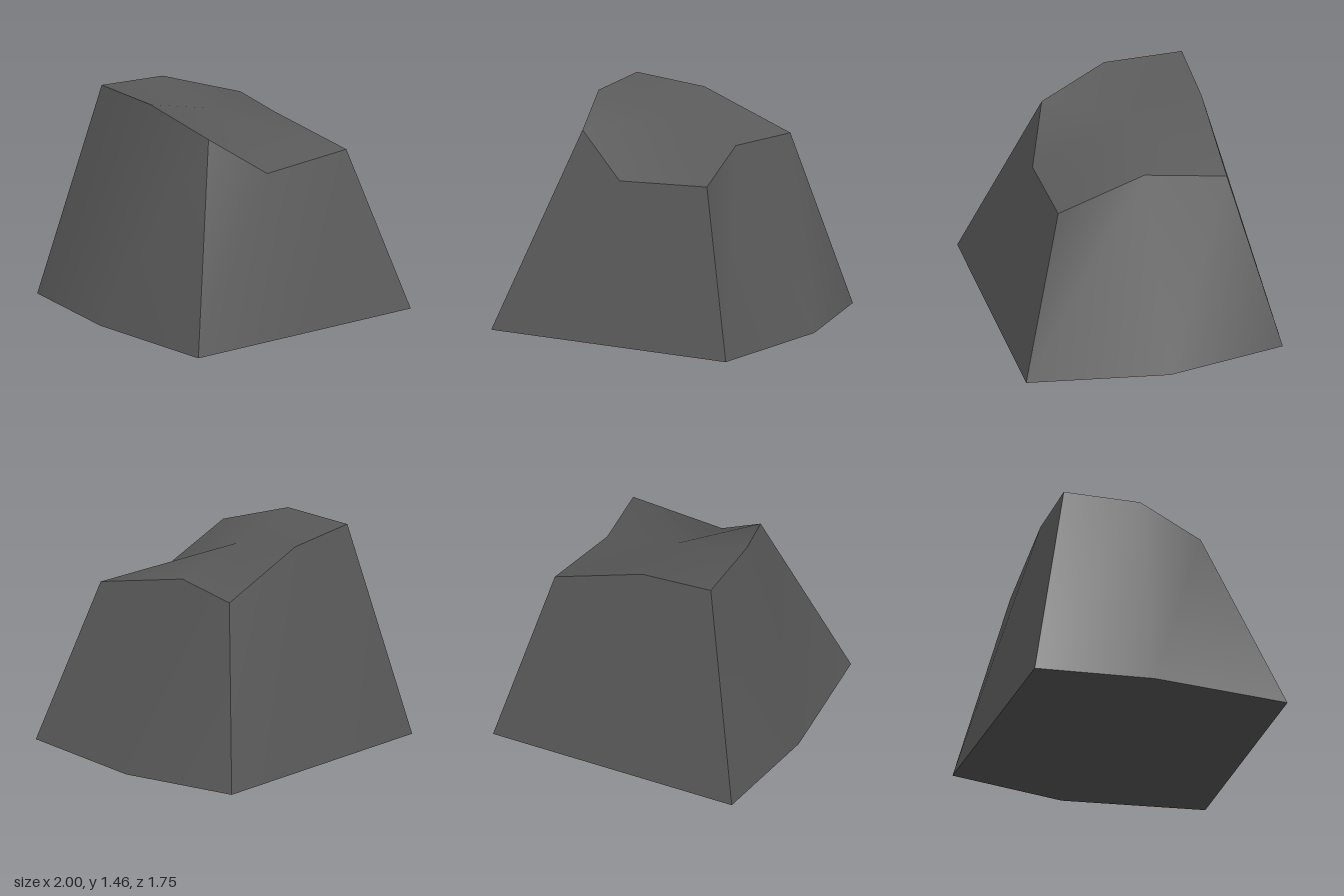
import * as THREE from 'three';
import { toCreasedNormals } from 'three/addons/utils/BufferGeometryUtils.js';

export function createModel() {
  const group = new THREE.Group();
  group.name = 'rock';
  const stone = new THREE.MeshStandardMaterial({ color: 0x5a5a5a });
  stone.name = 'dark grey stone';

  // Outlines run counter-clockwise from above, starting at the front right corner
  const base = [
    [0.85, 0, 0.875], [1, 0, -0.07], [0.85, 0, -0.875], [-0.06, 0, -0.875],
    [-0.91, 0, -0.875], [-1, 0, -0.07], [-0.91, 0, 0.875], [-0.06, 0, 0.875],
  ];
  const rim = [
    [0.545, 1.085, 0.575], [0.425, 1.21, -0.045], [0.545, 1.19, -0.575], [-0.1, 1.425, -0.575],
    [-0.605, 1.46, -0.575], [-0.605, 1.46, -0.045], [-0.475, 1.31, 0.415], [-0.11, 1.045, 0.575],
  ];
  const crown = [-0.1, 1.335, -0.05];
  const foot = [-0.03, 0, 0];

  // Sides as a strip between the outlines; crown and underside as fans
  const n = base.length, top = 2 * n, bottom = 2 * n + 1;
  const index = [];
  for (let i = 0; i < n; i++) {
    const j = (i + 1) % n;
    index.push(i, j, n + j, i, n + j, n + i);
    index.push(top, n + i, n + j, bottom, j, i);
  }
  const geometry = new THREE.BufferGeometry();
  geometry.setAttribute('position',
    new THREE.Float32BufferAttribute([...base, ...rim, crown, foot].flat(), 3));
  geometry.setIndex(index);

  // Soft shading inside each facet, sharp edges between facets
  const boulder = new THREE.Mesh(toCreasedNormals(geometry, 0.7), stone);
  boulder.name = 'boulder';
  group.add(boulder);
  return group;
}
